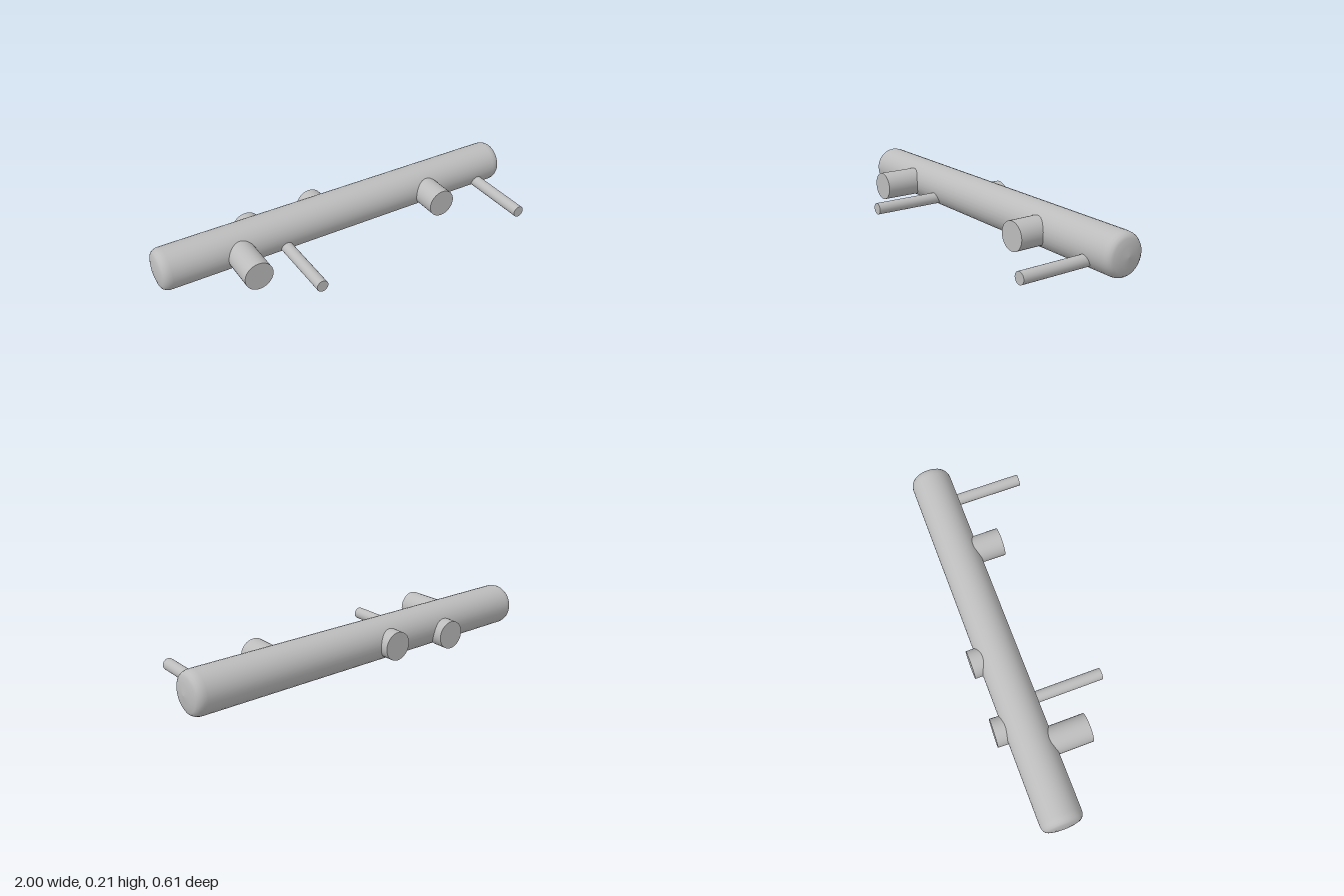
import * as THREE from 'three';

export function createModel() {
  const model = new THREE.Group();
  const grey = new THREE.MeshStandardMaterial({ color: 0xbcbcbc });
  grey.name = 'light grey';

  const add = (name, geometry) => {
    const mesh = new THREE.Mesh(geometry, grey);
    mesh.name = name;
    model.add(mesh);
    return mesh;
  };

  // Long main bar with softly domed ends, lying along x
  const end = [[0, 1], [0.05, 0.995], [0.08, 0.988], [0.092, 0.981], [0.1, 0.97], [0.1045, 0.957], [0.106, 0.94]];
  const profile = [
    ...end.map(([r, h]) => new THREE.Vector2(r, -h)),
    ...end.slice().reverse().map(([r, h]) => new THREE.Vector2(r, h)),
  ];
  const bar = add('mainBar', new THREE.LatheGeometry(profile, 32));
  bar.rotation.z = -Math.PI / 2;
  bar.position.set(0, 0.108, -0.147);

  // Round peg along z, between two depths
  const peg = (name, x, y, radius, zBack, zFront, sides = 32) => {
    const geometry = new THREE.CylinderGeometry(radius, radius, zFront - zBack, sides);
    geometry.rotateX(Math.PI / 2);
    const mesh = add(name, geometry);
    mesh.position.set(x, y, (zBack + zFront) / 2);
    return mesh;
  };

  // Thick front pegs of different lengths
  peg('rightFrontPeg', -0.59, 0.105, 0.073, -0.14, 0.137);
  peg('leftFrontPeg', 0.495, 0.105, 0.073, -0.14, 0.083);

  // Thin long front rods
  for (const [name, x] of [['rightRod', -0.35], ['leftRod', 0.832]]) {
    peg(name, x, 0.063, 0.03, -0.14, 0.307, 24);
  }

  // Short knobs on the back, the outer one slightly turned
  peg('innerBackKnob', -0.092, 0.105, 0.073, -0.292, -0.18);
  const outerKnob = peg('outerBackKnob', -0.453, 0.082, 0.073, -0.302, -0.226);
  outerKnob.rotation.y = -0.04;

  return model;
}
